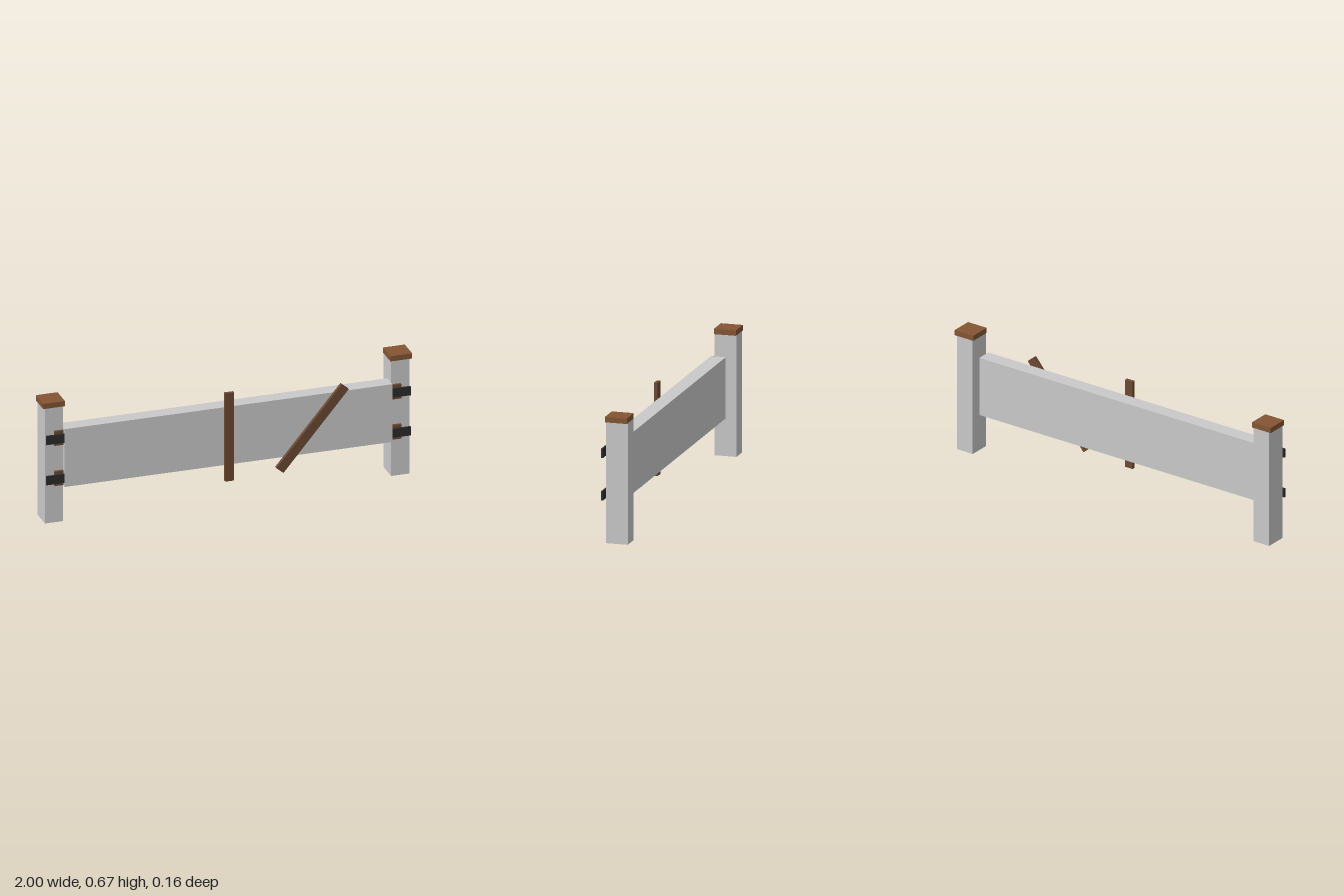
import * as THREE from 'three';

const material = (name, color) => {
  const m = new THREE.MeshStandardMaterial({ color });
  m.name = name;
  return m;
};

export function createModel() {
  const model = new THREE.Group();
  model.name = 'gate';
  const grey = material('pale grey', 0xcacaca);
  const capWood = material('cap wood', 0x845533);
  const darkWood = material('dark wood', 0x6b4932);
  const iron = material('black iron', 0x2b2b2b);

  // Box given by its extents on each axis
  const box = (name, mat, [x0, x1], [y0, y1], [z0, z1], parent = model) => {
    const mesh = new THREE.Mesh(new THREE.BoxGeometry(x1 - x0, y1 - y0, z1 - z0), mat);
    mesh.position.set((x0 + x1) / 2, (y0 + y1) / 2, (z0 + z1) / 2);
    mesh.name = name;
    parent.add(mesh);
    return mesh;
  };

  // Wide board between the posts
  box('panel', grey, [-0.891, 0.886], [0.2, 0.525], [-0.023, 0.057]);

  // Posts with caps and two hinges each
  for (const side of [-1, 1]) {
    const post = new THREE.Group();
    post.name = side > 0 ? 'leftPost' : 'rightPost';
    model.add(post);
    const span = (centre, width) => {
      const c = side * centre;
      return [c - width / 2, c + width / 2];
    };
    const shift = ([a, b]) => [a - 0.003, b - 0.003];
    box('postShaft', grey, shift(span(0.938, 0.099)), [0, 0.645], [-0.081, 0.037], post);
    box('postCap', capWood, span(0.941, 0.118), [0.645, 0.674], [-0.081, 0.037], post);
    for (const y of [0.25, 0.476]) {
      box('hingeBlock', darkWood, shift(span(0.915, 0.049)), [y - 0.04, y + 0.04], [0.037, 0.052], post);
      box('hingeStrap', iron, shift(span(0.938, 0.099)), [y - 0.025, y + 0.024], [0.052, 0.062], post);
    }
  }

  // Upright and leaning slats on the front
  box('uprightSlat', darkWood, [-0.026, 0.022], [0.115, 0.61], [0.058, 0.077]);
  const slat = box('leaningSlat', darkWood, [0.42, 0.47], [0.073, 0.623], [0.062, 0.082]);
  slat.rotation.z = -0.698;

  return model;
}
